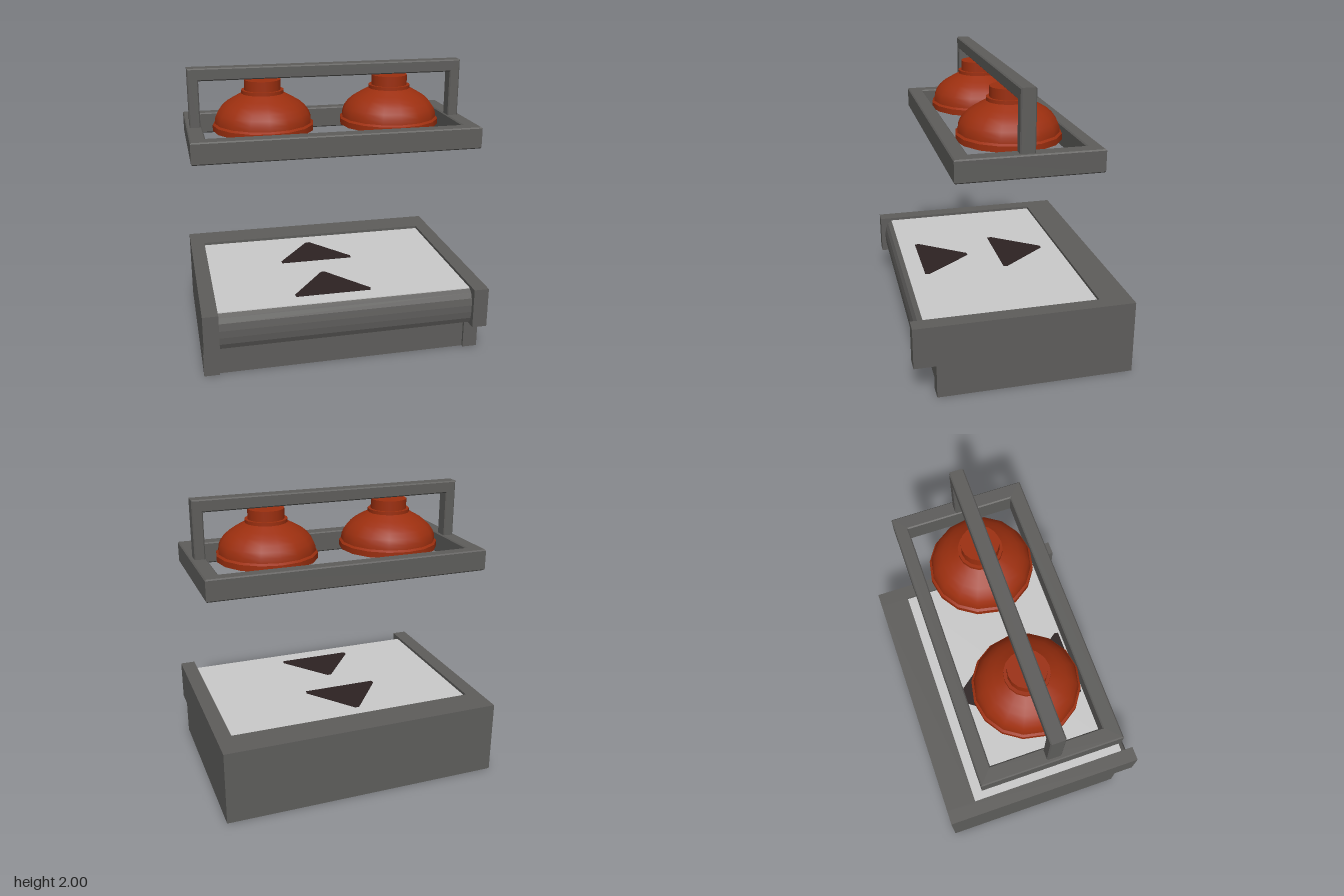
import * as THREE from 'three';

const mat = (name, color, extra = {}) => {
  const m = new THREE.MeshStandardMaterial({ color, ...extra });
  m.name = name;
  return m;
};

export function createModel() {
  const metal = mat('dark grey metal', 0x5e5d5b);
  const red = mat('rust red enamel', 0x9c2f0f);
  const glow = mat('tan bulb', 0xb5a070);
  const belt = mat('pale belt', 0xcacaca);
  const mark = mat('dark marking', 0x2d2323);

  const group = (name, parent) => {
    const g = new THREE.Group();
    g.name = name;
    if (parent) parent.add(g);
    return g;
  };
  const add = (parent, name, geometry, material) => {
    const m = new THREE.Mesh(geometry, material);
    m.name = name;
    parent.add(m);
    return m;
  };
  const poly = (pts) => new THREE.Shape(pts.map(([x, y]) => new THREE.Vector2(x, y)));
  const rect = (x0, x1, y0, y1) => poly([[x0, y0], [x1, y0], [x1, y1], [x0, y1]]);
  const BEVEL = 0.008;
  const extrude = (shape, depth, bevel = 0) => {
    const g = new THREE.ExtrudeGeometry(shape, {
      depth: depth - 2 * bevel, bevelEnabled: bevel > 0, bevelSize: bevel,
      bevelThickness: bevel, bevelOffset: -bevel, bevelSegments: 1, curveSegments: 8,
    });
    return g.translate(0, 0, bevel);
  };
  // A (z, y) outline swept along x from x0 to x1
  const sweepX = (pts, x0, x1, bevel = 0) =>
    extrude(poly(pts.map(([z, y]) => [-z, y])), x1 - x0, bevel).rotateY(Math.PI / 2).translate(x0, 0, 0);
  // A (x, z) outline raised from y0 to y1
  const raise = (shape, y0, y1, bevel = 0) =>
    extrude(shape, y1 - y0, bevel).rotateX(-Math.PI / 2).translate(0, y0, 0);
  const block = (x0, x1, y0, y1, z0, z1) =>
    new THREE.BoxGeometry(x1 - x0, y1 - y0, z1 - z0)
      .translate((x0 + x1) / 2, (y0 + y1) / 2, (z0 + z1) / 2);

  const model = group('heatLampWarmer');

  // ---- Base: rails, back bar and a hollow underside with sloping walls ----
  const base = group('base', model);
  const W = 0.985, I = 0.88, Y = 0.235, TOP = 0.52;
  for (const s of [-1, 1]) {
    const side = s > 0 ? 'left' : 'right';
    const a = Math.min(s * I, s * W), b = Math.max(s * I, s * W);
    add(base, side + 'Rail', block(a, b, Y, TOP, -0.745, 0.747), metal);
    add(base, side + 'FrontPost', block(a, b, 0, Y, 0.575, 0.6), metal);
    const wall = s > 0 ? [[W, 0], [W, Y], [I, Y]] : [[-W, 0], [-I, Y], [-W, Y]];
    add(base, side + 'LowerWall', extrude(poly(wall), 1.32).translate(0, 0, -0.745), metal);
  }
  add(base, 'backBar', block(-I, I, Y, TOP, -0.745, -0.525), metal);
  add(base, 'backLowerWall', sweepX([[-0.745, 0], [-0.525, Y], [-0.745, Y]], -W, W), metal);
  add(base, 'frontPanel', block(-I, I, 0, 0.25, 0.565, 0.58), metal);

  // Bed with the rounded front lip
  add(base, 'bed', sweepX([
    [-0.53, 0.245], [0.69, 0.25], [0.708, 0.29], [0.715, 0.34], [0.715, 0.39],
    [0.707, 0.44], [0.69, 0.475], [0.66, 0.495], [-0.53, 0.495],
  ], -I, I), metal);
  add(base, 'beltSurface', block(-I, I, 0.494, 0.5, -0.525, 0.66), belt);

  // Two arrow markings on the belt
  const arrow = [
    [-0.1, 0.2], [-0.085, 0.18], [-0.055, 0.18], [-0.04, 0.2],
    [0.2, 0.51], [0.195, 0.54], [-0.33, 0.54], [-0.335, 0.51],
  ];
  [0, -0.58].forEach((dz, i) => {
    const shape = poly(arrow.map(([x, z]) => [x, -(z + dz)]));
    add(base, 'arrowMark' + (i + 1), raise(shape, 0.499, 0.504), mark);
  });

  // ---- Lamp unit: rectangular frame and arched handle ----
  const lamp = group('lampUnit', model);
  const frame = rect(-W, W, -0.465, 0.482);
  frame.holes.push(rect(-I, I, -0.36, 0.39));
  add(lamp, 'lampFrame', raise(frame, 1.45, 1.6, BEVEL), metal);
  const arch = poly([
    [-0.963, 1.59], [-0.89, 1.59], [-0.89, 1.915], [0.887, 1.915],
    [0.887, 1.59], [0.96, 1.59], [0.96, 2], [-0.963, 2],
  ]);
  add(lamp, 'handle', extrude(arch, 0.1, BEVEL).translate(0, 0, -0.042), metal);

  // Domed shades
  const SIDES = 16;
  const dome = [
    [0.337, 1.612], [0.334, 1.645], [0.32, 1.68], [0.293, 1.717],
    [0.255, 1.75], [0.21, 1.777], [0.145, 1.813],
  ].map(([r, y]) => new THREE.Vector2(r, y));
  const ring = (r0, r1, y0, y1, open = false) =>
    new THREE.CylinderGeometry(r1, r0, y1 - y0, SIDES, 1, open).translate(0, (y0 + y1) / 2, 0);
  for (const s of [-1, 1]) {
    const shade = group(s > 0 ? 'leftShade' : 'rightShade', lamp);
    shade.position.x = s * 0.453;
    add(shade, 'dome', new THREE.LatheGeometry(dome, SIDES), red);
    add(shade, 'rim', ring(0.352, 0.352, 1.56, 1.6, true), red);
    add(shade, 'rimBevel', ring(0.352, 0.337, 1.6, 1.612, true), red);
    add(shade, 'collar', ring(0.147, 0.147, 1.808, 1.835), red);
    add(shade, 'neck', ring(0.126, 0.126, 1.83, 1.905), red);
    add(shade, 'bulbPlate', ring(0.35, 0.35, 1.56, 1.565), glow);
  }
  return model;
}
